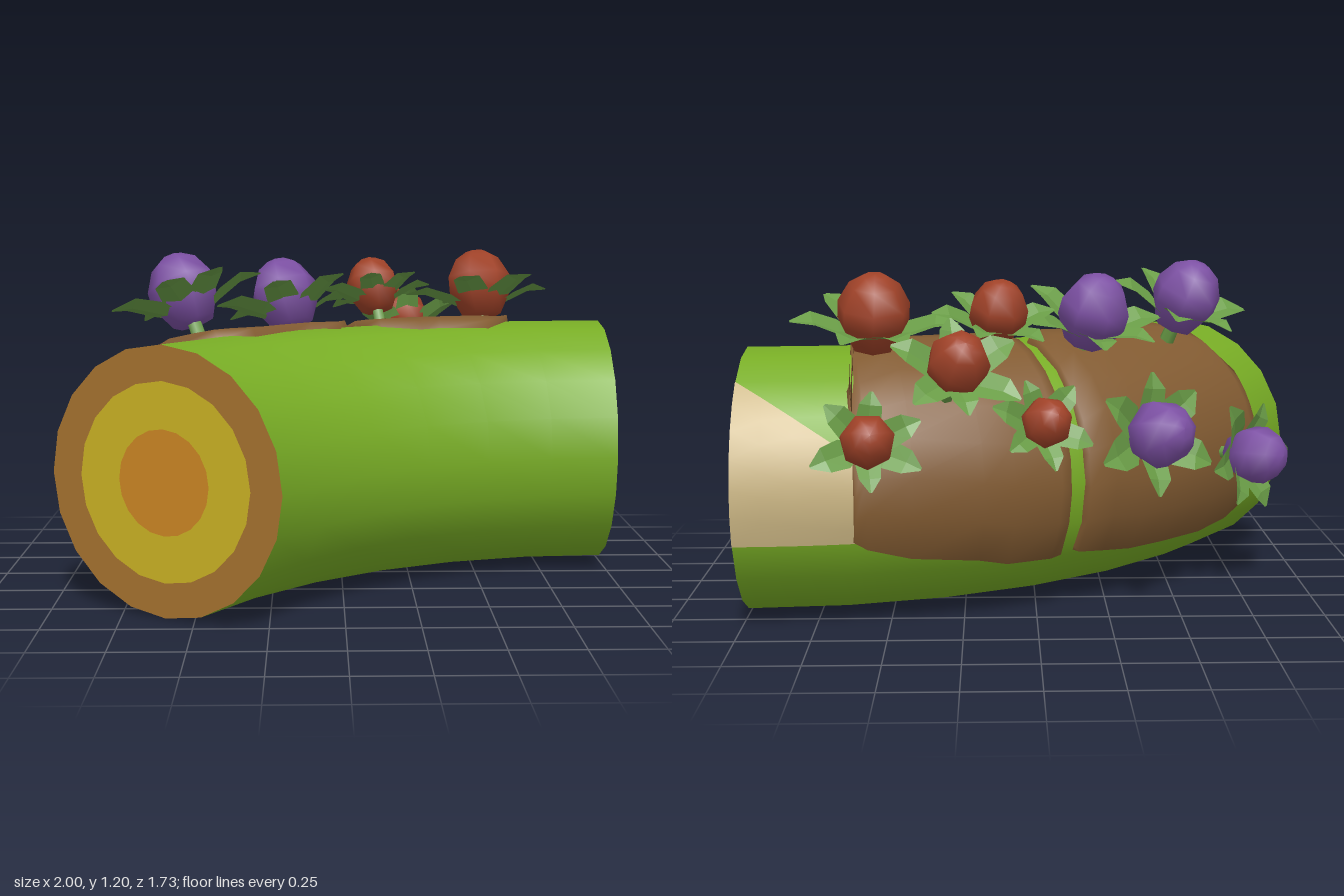
import * as THREE from 'three';

const mat = (name, color, double) => {
  const m = new THREE.MeshStandardMaterial({ color });
  m.name = name;
  if (double) m.side = THREE.DoubleSide;
  return m;
};

// The log bends through 60 degrees about a vertical axis
const BEND = 1.848, RADIUS = 0.46, CX = 1, CZ = 1.548;
const rad = THREE.MathUtils.degToRad;

// Point on the log: u = degrees along the bend, a = degrees from the top towards the back
function onLog(u, a, r) {
  const d = BEND + r * Math.sin(rad(a));
  return new THREE.Vector3(CX - d * Math.sin(rad(u)), RADIUS + r * Math.cos(rad(a)), CZ - d * Math.cos(rad(u)));
}

class BendCurve extends THREE.Curve {
  getPoint(t, target = new THREE.Vector3()) {
    return target.copy(onLog(60 * t, 0, 0)).setY(RADIUS);
  }
}

// Skin joining rows of points
function skin(rows) {
  const n = rows[0].length, index = [];
  for (let i = 0; i < rows.length - 1; i++) {
    for (let j = 0; j < n - 1; j++) {
      const a = i * n + j, b = a + n;
      index.push(a, a + 1, b, b, a + 1, b + 1);
    }
  }
  const g = new THREE.BufferGeometry().setFromPoints(rows.flat());
  g.setIndex(index);
  g.computeVertexNormals();
  return g;
}

// Raised soil patch; each row is [u, front angle, back angle], with a rim sunk into the log
function soilPatch(rows) {
  const ts = [0, 0.02, 0.12, 0.24, 0.36, 0.48, 0.6, 0.72, 0.84, 0.98, 1];
  const first = rows[0], last = rows[rows.length - 1];
  const all = [[first[0] - 0.2, first[1], first[2]], ...rows, [last[0] + 0.3, last[1], last[2]]];
  return skin(all.map(([u, f, b], i) => ts.map((t, j) => {
    const rim = i === 0 || j === 0 || i === all.length - 1 || j === ts.length - 1;
    return onLog(u, f + (b - f) * t, rim ? 0.45 : 0.484);
  })));
}

// Faceted leaf growing along +x, cupped upwards
function leafGeometry() {
  const rows = [[0.02, -0.11, 0.02], [0.11, -0.065, 0.07], [0.2, -0.025, 0.06], [0.275, -0.02, 0.008]];
  const g = skin(rows.map(([x, y, w]) => [
    new THREE.Vector3(x, y + w * 0.25, w), new THREE.Vector3(x, y, 0), new THREE.Vector3(x, y + w * 0.25, -w),
  ])).toNonIndexed();
  g.computeVertexNormals();
  return g;
}

export function createModel() {
  const model = new THREE.Group();
  model.name = 'floweringLog';
  const bark = mat('bark green', 0x78ad25);
  const wood = mat('outer wood', 0xa5722f);
  const yellow = mat('yellow wood', 0xcab224);
  const orange = mat('orange heartwood', 0xcb8524);
  const bare = mat('bare wood', 0xc9b482, true);
  const soil = mat('soil brown', 0x825b32, true);
  const leafGreen = mat('leaf green', 0x6a9d47, true);
  const purple = mat('purple bud', 0x7c50a3);
  const red = mat('red bud', 0xa04228);

  const add = (parent, name, geometry, material) => {
    const mesh = new THREE.Mesh(geometry, material);
    mesh.name = name;
    parent.add(mesh);
    return mesh;
  };

  // Log body
  add(model, 'logBark', new THREE.TubeGeometry(new BendCurve(), 6, RADIUS, 20), bark);

  // Cut ends with growth rings
  for (const [name, u, turn] of [['leftCut', 0, Math.PI / 2], ['rightCut', 60, -Math.PI / 6]]) {
    const cut = new THREE.Group();
    cut.name = name;
    cut.position.copy(onLog(u, 0, 0));
    cut.rotation.y = turn;
    add(cut, 'outerRing', new THREE.RingGeometry(0.34, RADIUS, 20), wood);
    add(cut, 'middleRing', new THREE.RingGeometry(0.18, 0.34, 20), yellow);
    add(cut, 'core', new THREE.CircleGeometry(0.18, 20), orange);
    model.add(cut);
  }

  // Patch of missing bark at the back of the left end
  const bareRows = [];
  for (let i = 0; i <= 4; i++) {
    const row = [], start = 36 + 9 * i;
    for (let j = 0; j <= 6; j++) row.push(onLog(2.5 * i, start + (108 - start) * j / 6, 0.465));
    bareRows.push(row);
  }
  add(model, 'bareWoodPatch', skin(bareRows), bare);

  // Soil patches with a narrow gap between them
  add(model, 'leftSoil', soilPatch([[10, 40, 108], [11, 0, 112], [14.7, -14, 118], [20.7, -10, 122],
    [23.5, -12, 126], [27.8, -4, 126], [28.7, 12, 124]]), soil);
  add(model, 'rightSoil', soilPatch([[30.6, 8, 124], [33.4, -4, 126], [36.7, 0, 128], [40.8, -2, 128],
    [46.2, -6, 128], [50, 2, 124], [52.2, 20, 116], [53, 50, 100]]), soil);

  // Bud, leaf and stem shapes shared by all plants
  const bud = new THREE.LatheGeometry([[0, -0.13], [0.075, -0.12], [0.122, -0.03], [0.122, 0.03], [0.085, 0.1], [0.04, 0.13], [0, 0.135]]
    .map(([x, y]) => new THREE.Vector2(x, y)), 7);
  const leaf = leafGeometry();
  const stem = new THREE.CylinderGeometry(0.025, 0.03, 0.16, 6);

  // Plants: bud centre x, y, z, bud radius, colour
  const plants = [
    [-0.42, 0.64, -0.49, 0.12, purple], [-0.81, 0.5, -0.14, 0.11, purple],
    [-0.21, 1.03, -0.19, 0.13, purple], [-0.57, 1.06, 0.08, 0.13, purple],
    [-0.03, 0.7, -0.6, 0.088, red], [0.26, 0.91, -0.69, 0.107, red], [0.55, 0.67, -0.78, 0.092, red],
    [0.13, 1.05, -0.39, 0.105, red], [0.55, 1.05, -0.44, 0.13, red],
  ];
  const up = new THREE.Vector3(0, 1, 0);
  plants.forEach(([x, y, z, r, colour], k) => {
    const plant = new THREE.Group();
    plant.name = 'plant' + (k + 1);
    plant.position.set(x, y, z);
    // Grow straight out from the log's centre line
    const axis = new THREE.Vector3(x - CX, 0, z - CZ).setLength(BEND).add(new THREE.Vector3(CX, RADIUS, CZ));
    plant.quaternion.setFromUnitVectors(up, plant.position.clone().sub(axis).normalize());
    plant.scale.setScalar(r / 0.127);
    add(plant, 'bud', bud, colour).rotation.y = k * 1.3;
    add(plant, 'stem', stem, leafGreen).position.y = -0.16;
    for (let i = 0; i < 6; i++) {
      const l = add(plant, 'leaf', leaf, leafGreen);
      l.rotation.y = i * Math.PI / 3 + k * 0.8 + 0.15 * Math.sin(i * 5 + k);
      l.scale.setScalar(0.92 + 0.1 * Math.sin(i * 2.3 + k * 1.7));
    }
    model.add(plant);
  });
  return model;
}
